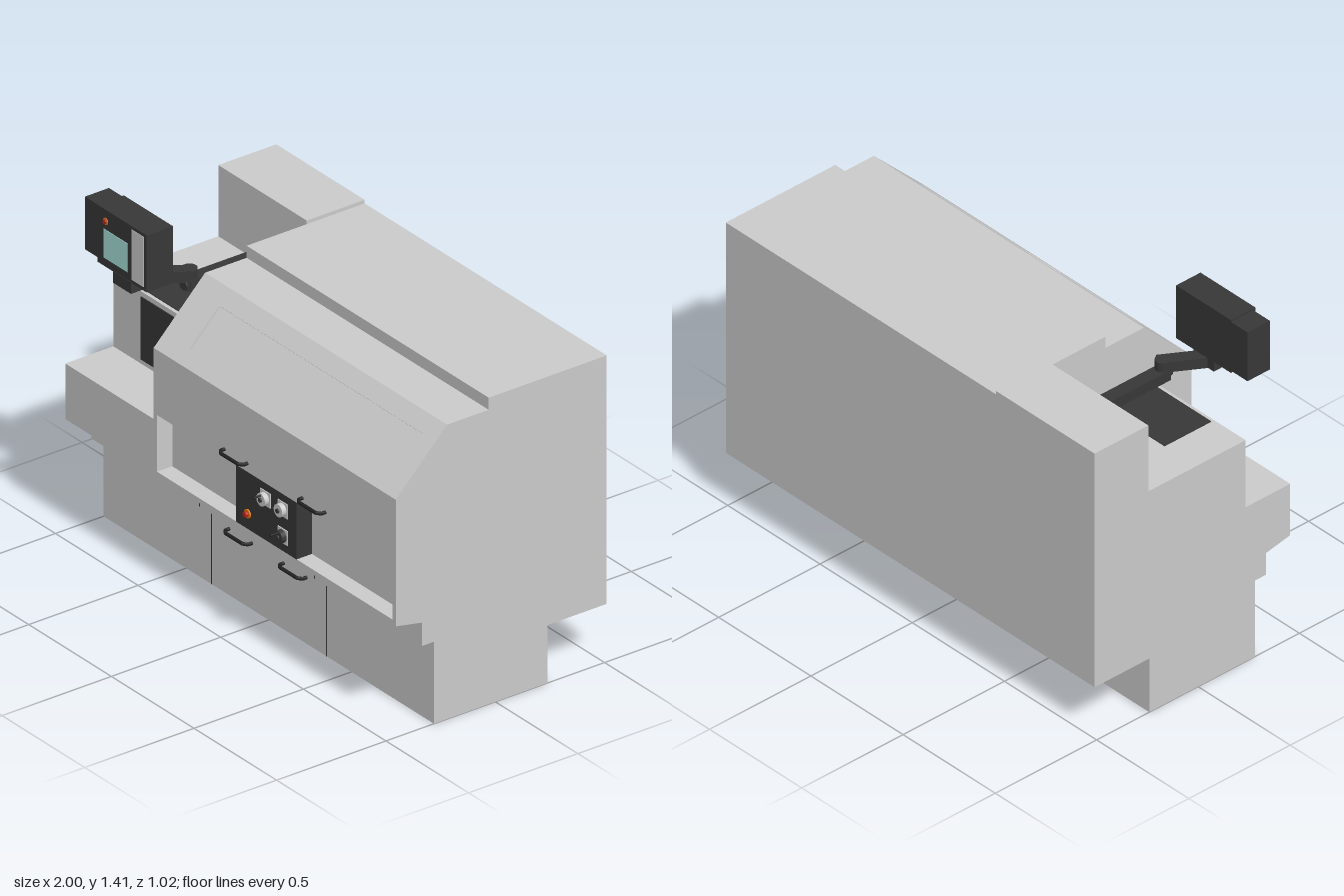
import * as THREE from 'three';

const mat = (color) => new THREE.MeshStandardMaterial({ color });

export function createModel() {
  const model = new THREE.Group();
  const grey = mat(0xcccccc), dark = mat(0x383838), black = mat(0x222222);
  const glass = mat(0xe6e6e6), teal = mat(0xa8e0d8), orange = mat(0xe07818), red = mat(0xc02818);

  const add = (name, geometry, material, x = 0, y = 0, z = 0, parent = model) => {
    const mesh = new THREE.Mesh(geometry, material);
    mesh.name = name;
    mesh.position.set(x, y, z);
    parent.add(mesh);
    return mesh;
  };
  // box given by its limits
  const box = (name, material, x0, x1, y0, y1, z0, z1) =>
    add(name, new THREE.BoxGeometry(x1 - x0, y1 - y0, z1 - z0), material,
      (x0 + x1) / 2, (y0 + y1) / 2, (z0 + z1) / 2);
  const shapeOf = (points) => new THREE.Shape(points.map(([a, b]) => new THREE.Vector2(a, b)));
  // side profile of [z, y] points swept from x0 to x1
  const slab = (name, profile, x0, x1) => {
    const geo = new THREE.ExtrudeGeometry(shapeOf(profile), { depth: x1 - x0, bevelEnabled: false });
    add(name, geo, grey, x1).rotation.y = -Math.PI / 2;
  };
  // cylinder pointing forward from z0 to z1
  const disc = (name, material, x, y, z0, z1, r, sides = 24) => {
    const geo = new THREE.CylinderGeometry(r, r, z1 - z0, sides).rotateX(Math.PI / 2);
    add(name, geo, material, x, y, (z0 + z1) / 2);
  };

  // Cabinet: shared base and back outline, different fronts and tops
  const back = [[-0.51, 0.24], [-0.24, 0.24], [-0.24, 0]];
  const base = [[0.28, 0], [0.28, 0.34], [0.335, 0.34], [0.335, 0.437], [0.455, 0.46]];
  const roof = [[0.22, 1.22], [0.03, 1.22], [0.03, 1.27], [-0.51, 1.27]];
  const cheek = [...base, [0.455, 0.985], ...roof, ...back];
  slab('headstockCabinet', [...base, [0.455, 0.69], [0.235, 0.69], [0.235, 0.99],
    [-0.245, 0.99], [-0.245, 1.285], [-0.51, 1.285], ...back], -1, -0.465);
  slab('leftCheek', cheek, -0.465, -0.445);
  slab('rightCheek', cheek, 0.98, 1);
  slab('mainCabinet', [...base, [0.455, 0.48], [0.385, 0.48], [0.385, 0.715], [0.455, 0.715],
    [0.455, 0.985], [0.447, 0.977], [0.212, 1.212], ...roof, ...back], -0.445, 0.98);

  // Sloped door with a stepped window opening
  const slope = (y) => (y - 0.985) / Math.SQRT1_2;
  const outline = [[-0.31, 1.035], [0.19, 1.035], [0.33, 1.062], [0.915, 1.062], [0.915, 1.167], [-0.31, 1.167]]
    .map(([x, y]) => [x, slope(y)]);
  const door = shapeOf([[-0.445, 0], [0.98, 0], [0.98, slope(1.22)], [-0.445, slope(1.22)]]);
  door.holes.push(shapeOf(outline));
  const doorGroup = new THREE.Group();
  doorGroup.name = 'slopedDoor';
  doorGroup.position.set(0, 0.977, 0.447);
  doorGroup.rotation.x = -Math.PI / 4;
  model.add(doorGroup);
  add('doorPanel', new THREE.ExtrudeGeometry(door, { depth: 0.0113, bevelEnabled: false }), grey, 0, 0, 0, doorGroup);
  add('window', new THREE.ShapeGeometry(shapeOf(outline)), glass, 0, 0, 0.002, doorGroup);

  // Seams between the base doors
  for (const x of [-0.345, 0.35]) {
    box('baseSeam', dark, x - 0.002, x + 0.002, 0, 0.34, 0.27, 0.281);
    box('bandSeam', dark, x - 0.002, x + 0.002, 0.34, 0.437, 0.32, 0.336);
  }

  // Dark vents on the headstock housing
  box('frontVent', dark, -0.83, -0.485, 0.71, 0.97, 0.22, 0.239);
  box('topVent', dark, -0.83, -0.485, 0.98, 0.993, -0.01, 0.22);

  // Bent bar handles
  const handle = (x, y, z) => {
    const group = new THREE.Group();
    group.name = 'handle';
    group.position.set(x, y, z);
    model.add(group);
    const pts = [[-0.069, 0], [-0.069, 0.018], [-0.052, 0.031], [0.052, 0.031], [0.069, 0.018], [0.069, 0]]
      .map(([a, b]) => new THREE.Vector3(a, 0, b));
    const path = new THREE.CurvePath();
    for (let i = 1; i < pts.length; i++) path.add(new THREE.LineCurve3(pts[i - 1], pts[i]));
    add('handleBar', new THREE.TubeGeometry(path, 40, 0.007, 10), black, 0, 0, 0, group);
  };
  for (const x of [0.033, 0.505]) handle(x, 0.75, 0.455);
  for (const x of [-0.17, 0.16]) handle(x, 0.275, 0.28);

  // Operating panel with button and handwheels
  box('controlPanel', dark, 0.035, 0.4, 0.48, 0.715, 0.385, 0.456);
  disc('buttonRing', orange, 0.108, 0.545, 0.456, 0.462, 0.018);
  disc('stopButton', red, 0.108, 0.545, 0.46, 0.474, 0.011);
  for (const [x, y, m] of [[0.215, 0.655, grey], [0.32, 0.655, grey], [0.32, 0.545, dark]]) {
    box('wheelPlate', grey, x - 0.03, x + 0.03, y - 0.03, y + 0.03, 0.455, 0.46);
    disc('wheel', m, x, y, 0.46, 0.48, 0.026);
    disc('wheelHub', dark, x, y, 0.48, 0.486, 0.009);
    if (x < 0.3 || y < 0.6) disc('wheelPin', black, x, y + 0.018, 0.48, 0.515, 0.004, 12);
  }

  // Swing arm from the rear column to the monitor
  box('rearArm', dark, -0.635, -0.577, 1.085, 1.13, -0.25, 0.2);
  disc('armEnd', dark, -0.606, 1.1075, 0.19, 0.215, 0.022);
  const link = add('frontArm', new THREE.BoxGeometry(0.055, 0.045, 0.22), dark, -0.65, 1.147, 0.265);
  link.rotation.y = -0.55;
  add('armPivot', new THREE.CylinderGeometry(0.03, 0.03, 0.085, 24), dark, -0.606, 1.128, 0.185);
  box('monitorMount', dark, -0.745, -0.635, 1.127, 1.175, 0.31, 0.43);

  // Monitor
  box('monitorBody', dark, -0.84, -0.543, 1.172, 1.408, 0.308, 0.428);
  box('monitorSideBox', dark, -0.93, -0.84, 1.182, 1.4, 0.308, 0.418);
  box('screen', teal, -0.803, -0.658, 1.207, 1.326, 0.42, 0.43);
  box('keyStrip', grey, -0.633, -0.56, 1.187, 1.395, 0.42, 0.43);
  disc('monitorButtonRing', orange, -0.79, 1.361, 0.428, 0.431, 0.014);
  disc('monitorButton', red, -0.79, 1.361, 0.43, 0.437, 0.009);

  return model;
}
